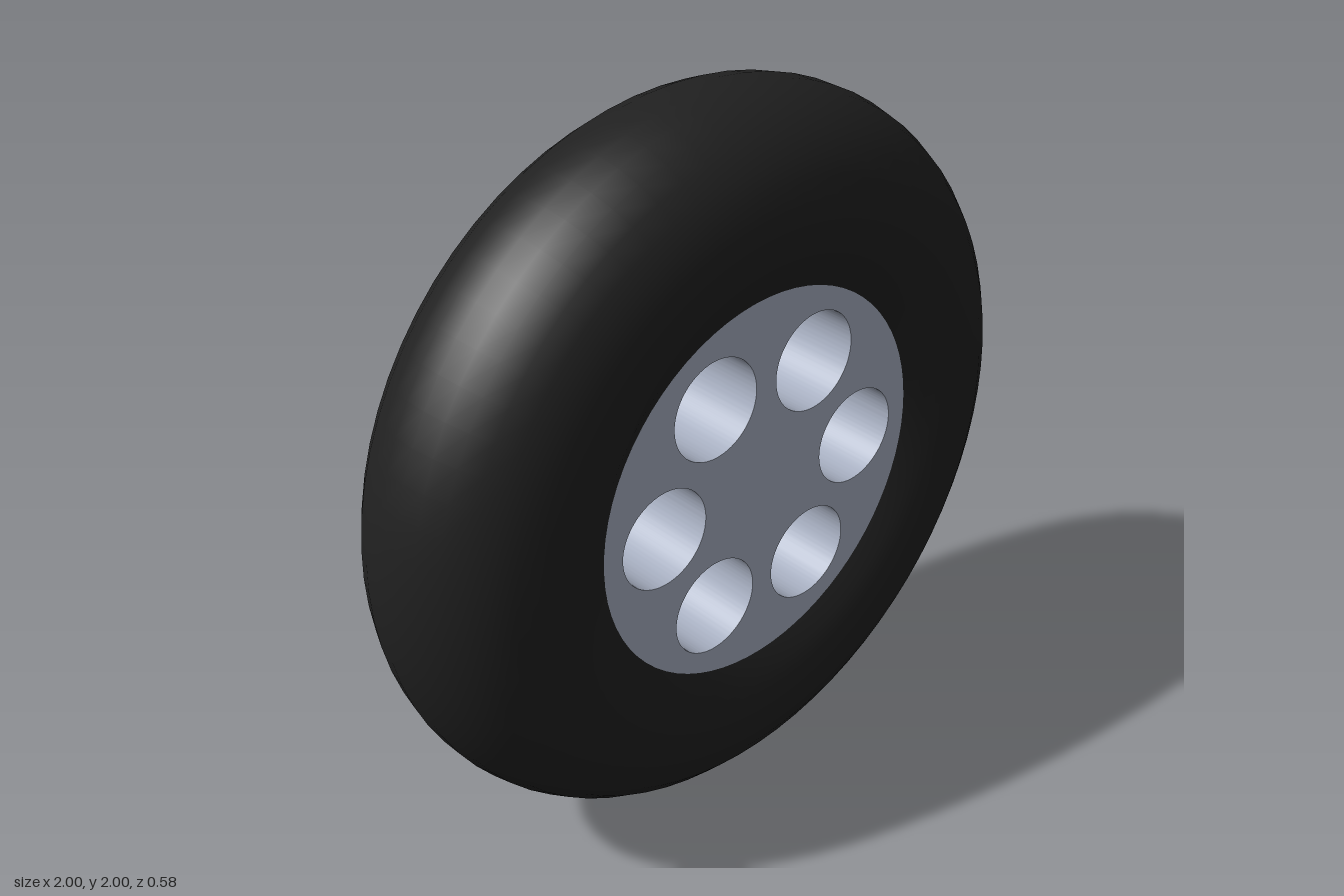
import * as THREE from 'three';
import { toCreasedNormals } from 'three/addons/utils/BufferGeometryUtils.js';

const SEGMENTS = 72;
const rubber = new THREE.MeshStandardMaterial({ color: 0x202020 });
const alloy = new THREE.MeshStandardMaterial({ color: 0xaab2c4 });
const steel = new THREE.MeshStandardMaterial({ color: 0xb8b8b0 });

// Revolve [radius, z] points about the wheel's z axis
function revolve(points, crease) {
  const profile = points.map(([r, z]) => new THREE.Vector2(r, z));
  const geometry = new THREE.LatheGeometry(profile, SEGMENTS).rotateX(Math.PI / 2);
  return crease ? toCreasedNormals(geometry, crease) : geometry;
}

// Points along an arc of an ellipse, as [radius, z]
function arc(cr, cz, rr, rz, from, to, steps) {
  return Array.from({ length: steps + 1 }, (_, i) => {
    const a = from + ((to - from) * i) / steps;
    return [cr + rr * Math.cos(a), cz + rz * Math.sin(a)];
  });
}

function disc(radius) {
  const shape = new THREE.Shape();
  shape.absarc(0, 0, radius, 0, Math.PI * 2, false);
  return shape;
}

// Extrude a shape between two z planes
function slab(shape, back, front, curveSegments) {
  const geometry = new THREE.ExtrudeGeometry(shape, { depth: front - back, bevelEnabled: false, curveSegments });
  return toCreasedNormals(geometry.translate(0, 0, back), 0.5);
}

export function createModel() {
  const wheel = new THREE.Group();
  wheel.name = 'wheel';
  const add = (name, geometry, material, parent = wheel) => {
    const mesh = new THREE.Mesh(geometry, material);
    mesh.name = name;
    parent.add(mesh);
    return mesh;
  };

  // Tyre: round section, open where it meets the rim
  const backEdge = Math.atan2(-0.268, -0.11);
  const frontEdge = Math.atan2(0.235, -0.17);
  add('tyre', revolve(arc(0.71, 0, 0.29, 0.29, backEdge, frontEdge, 20)), rubber);

  // Wheel disc with six round through holes
  const face = disc(0.54);
  for (let i = 0; i < 6; i++) {
    const a = (i * Math.PI) / 3;
    const hole = new THREE.Path();
    hole.absarc(0.343 * Math.cos(a), 0.343 * Math.sin(a), 0.137, 0, Math.PI * 2, true);
    face.holes.push(hole);
  }
  add('wheelDisc', slab(face, -0.18, 0.235, SEGMENTS), alloy);

  // Stepped rim around the recess at the back, and its barrel under the tyre
  add('rim', revolve([
    [0.498, -0.18], [0.498, -0.245], [0.51, -0.245], [0.51, -0.278],
    [0.597, -0.278], [0.605, -0.27], [0.605, -0.25], [0.54, 0.235],
  ], 0.5), alloy);

  // Tapered hub boss
  add('hub', revolve([[0, -0.225], [0.135, -0.225], [0.165, -0.18]], 0.5), alloy);

  // Button-head bolt with a hexagonal socket
  const bolt = new THREE.Group();
  bolt.name = 'bolt';
  wheel.add(bolt);
  add('boltDome', revolve(arc(0, -0.225, 0.06, 0.04, -0.95, 0, 8).map(([r, z]) => [r, z])), steel, bolt);
  const crown = disc(0.06 * Math.cos(0.95));
  const hex = Array.from({ length: 6 }, (_, i) => {
    const a = (-i * Math.PI) / 3;
    return new THREE.Vector2(0.03 * Math.cos(a), 0.03 * Math.sin(a));
  });
  crown.holes.push(new THREE.Path(hex));
  const crownZ = -0.225 - 0.04 * Math.sin(0.95);
  add('boltCrown', slab(crown, crownZ, -0.23, 32), steel, bolt);
  const floor = add('socketFloor', new THREE.CircleGeometry(0.032, 24).rotateY(Math.PI), steel, bolt);
  floor.position.z = -0.232;

  // Stand the wheel on the ground
  wheel.children.forEach((part) => { part.position.y = 1; });
  return wheel;
}
